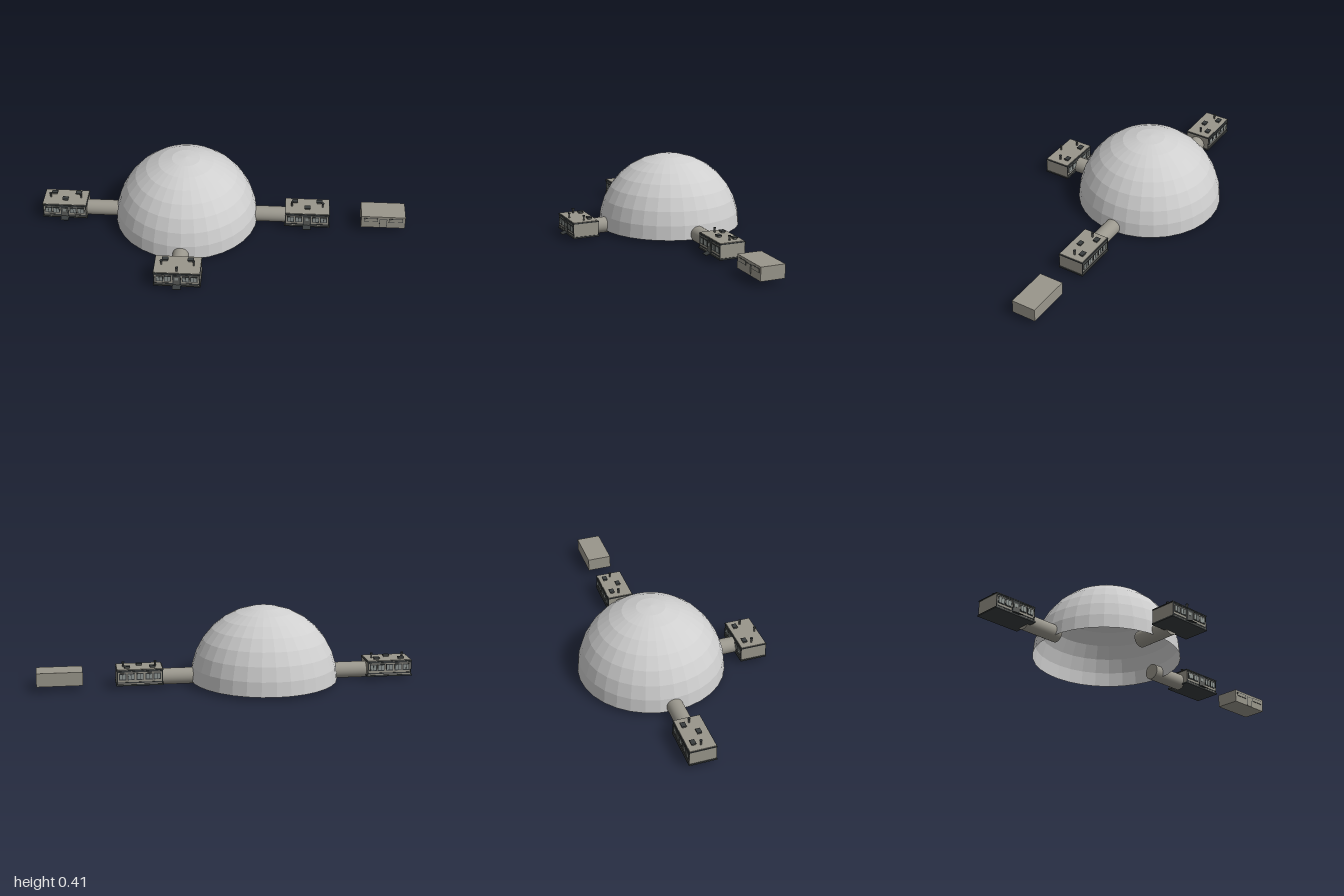
import * as THREE from 'three';

const flat = (name, color, side = THREE.FrontSide) => {
  const m = new THREE.MeshStandardMaterial({ color, side });
  m.name = name;
  return m;
};

export function createModel() {
  const domeGrey = flat('dome grey', 0xcfcfcf, THREE.DoubleSide);
  domeGrey.flatShading = true;
  const wall = flat('warm grey wall', 0x99968b);
  const tunnelGrey = flat('tunnel grey', 0x9b988e);
  const dark = flat('dark trim', 0x393d3e);
  const pane = flat('window pane', 0x8f9693);
  const vent = flat('vent grey', 0x5c5e5b);

  const model = new THREE.Group();
  model.name = 'domeBase';

  const add = (parent, name, geometry, material, x, y, z) => {
    const mesh = new THREE.Mesh(geometry, material);
    mesh.name = name;
    mesh.position.set(x, y, z);
    parent.add(mesh);
    return mesh;
  };
  const box = (parent, name, w, h, d, material, x, y, z) =>
    add(parent, name, new THREE.BoxGeometry(w, h, d), material, x, y, z);

  // Open-bottomed faceted dome
  const CX = -0.204, CZ = -0.123;
  add(model, 'dome', new THREE.SphereGeometry(0.391, 32, 8, 0, Math.PI * 2, 0, Math.PI / 2),
    domeGrey, -0.202, 0.017, CZ);

  // Framed two-pane window on a wall facing dir (+1 front, -1 back)
  const window2 = (parent, x, dir) => {
    box(parent, 'windowFrame', 0.038, 0.036, 0.004, dark, x, 0.066, dir * 0.07);
    for (const s of [-1, 1]) {
      box(parent, 'windowPane', 0.013, 0.026, 0.003, pane, x + s * 0.008, 0.066, dir * 0.0715);
    }
  };

  // Habitat module: slab, walls, eaves, windows, door, ramp and roof fittings
  const habitat = (name, x, z, vents, pipes) => {
    const g = new THREE.Group();
    g.name = name;
    g.position.set(x, 0, z);
    model.add(g);
    box(g, 'floorSlab', 0.248, 0.008, 0.146, dark, 0, 0.021, 0);
    box(g, 'walls', 0.24, 0.076, 0.138, wall, 0, 0.062, 0);
    box(g, 'eaves', 0.246, 0.005, 0.143, dark, 0, 0.0985, 0);
    box(g, 'roof', 0.238, 0.004, 0.136, wall, 0, 0.102, 0);

    for (const dir of [-1, 1]) {
      for (const wx of [-0.09, -0.047, 0.047, 0.09]) window2(g, wx, dir);
      for (const [y, h] of [[0.092, 0.006], [0.034, 0.006]]) {
        box(g, 'wallTrim', 0.236, h, 0.003, dark, 0, y, dir * 0.0695);
      }
      for (const s of [-1, 1]) {
        box(g, 'cornerTrim', 0.005, 0.072, 0.003, dark, s * 0.1175, 0.061, dir * 0.0695);
      }
    }
    window2(g, 0, -1);

    // Door with a small window
    box(g, 'doorFrame', 0.044, 0.064, 0.004, dark, 0, 0.057, 0.07);
    box(g, 'door', 0.032, 0.054, 0.004, vent, 0, 0.055, 0.0715);
    box(g, 'doorWindow', 0.018, 0.016, 0.002, pane, 0, 0.068, 0.0735);
    box(g, 'ramp', 0.044, 0.003, 0.03, dark, 0, 0.0235, 0.085).rotation.x = 0.36;

    for (const [vx, vz] of vents) {
      box(g, 'roofVent', 0.027, 0.008, 0.02, vent, vx, 0.107, vz);
      box(g, 'ventCap', 0.033, 0.004, 0.025, dark, vx, 0.113, vz);
    }
    for (const [px, pz] of pipes) {
      add(g, 'roofPipe', new THREE.CylinderGeometry(0.005, 0.005, 0.026, 12), vent, px, 0.115, pz);
      add(g, 'pipeCap', new THREE.CylinderGeometry(0.0075, 0.0075, 0.005, 12), dark, px, 0.128, pz);
    }
  };

  const backVents = [[-0.068, -0.035], [0.066, -0.036]];
  const sidePipes = [[-0.085, 0], [0.084, 0]];
  const sideVents = [...backVents, [0, 0.02]];
  habitat('rightHabitat', -0.876, CZ, sideVents, sidePipes);
  habitat('leftHabitat', 0.464, CZ, sideVents, sidePipes);
  habitat('frontHabitat', CX, 0.414, backVents, [...sidePipes, [0, 0.052]]);

  // Round tunnels joining the habitats to the dome
  const tube = new THREE.CylinderGeometry(0.043, 0.043, 0.22, 32);
  for (const [name, x] of [['rightTunnel', -0.66], ['leftTunnel', 0.245]]) {
    add(model, name, tube, tunnelGrey, x, 0.0435, CZ).rotation.z = Math.PI / 2;
  }
  add(model, 'frontTunnel', tube, tunnelGrey, CX, 0.0435, 0.245).rotation.x = Math.PI / 2;

  // Detached hut with plain raised panels on the front
  const hut = new THREE.Group();
  hut.name = 'detachedHut';
  hut.position.set(0.88, 0, -0.124);
  model.add(hut);
  box(hut, 'hutWalls', 0.24, 0.072, 0.132, wall, 0, 0.063, 0);
  for (const s of [-1, 1]) {
    box(hut, 'hutWindowFrame', 0.076, 0.022, 0.002, dark, s * 0.068, 0.077, 0.0662);
    box(hut, 'hutWindow', 0.07, 0.016, 0.002, wall, s * 0.068, 0.077, 0.0668);
  }
  box(hut, 'hutDoorFrame', 0.042, 0.056, 0.002, dark, 0, 0.056, 0.0662);
  box(hut, 'hutDoor', 0.036, 0.052, 0.002, wall, 0, 0.055, 0.0668);

  return model;
}
